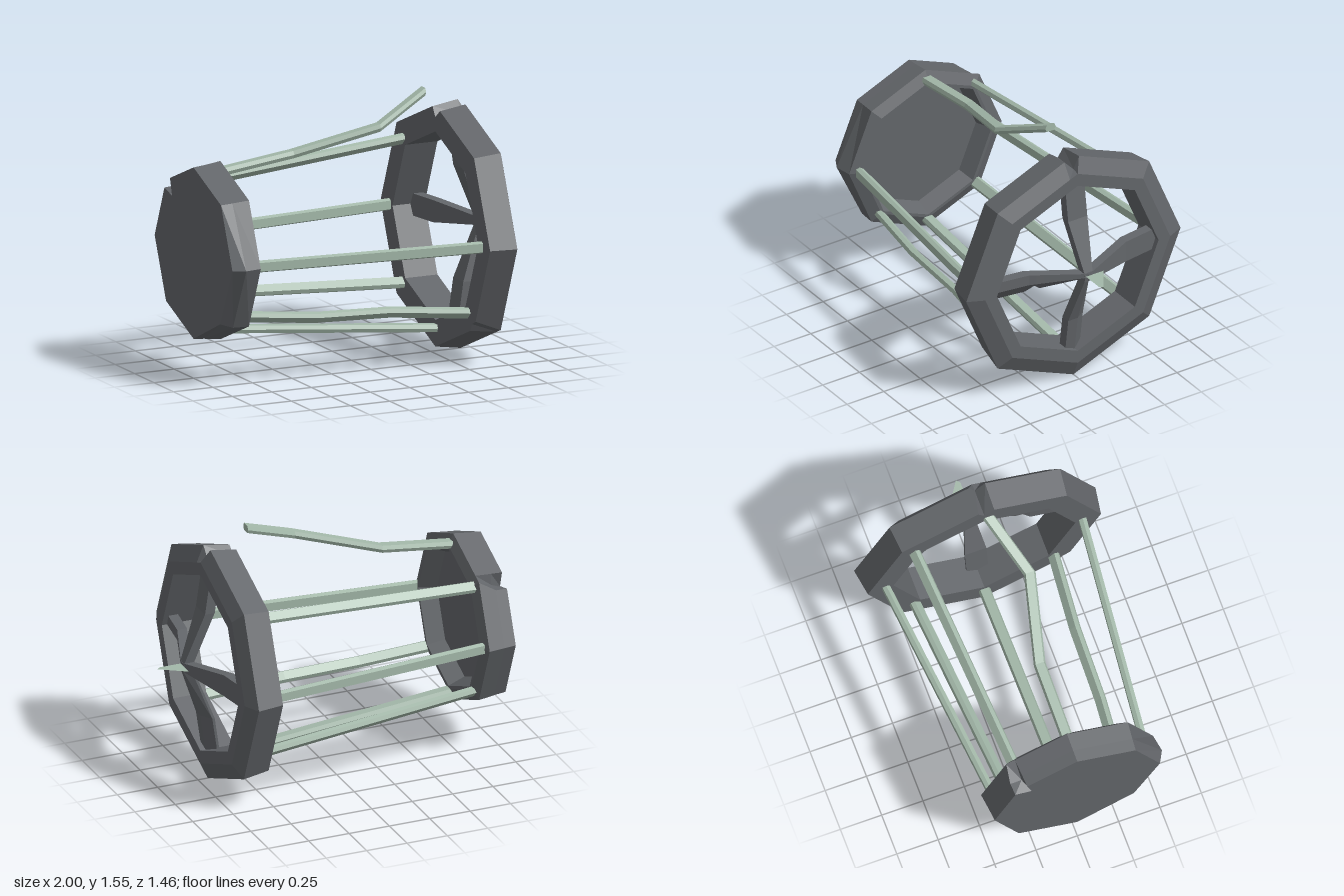
import * as THREE from 'three';

const CY = 0.73; // height of the long axis
const rad = d => d * Math.PI / 180;
const iron = new THREE.MeshStandardMaterial({ color: 0x63666a });
iron.name = 'dark iron';
const bar = new THREE.MeshStandardMaterial({ color: 0xa3b8a9 });
bar.name = 'pale green metal';

// Point at distance x along the axis, radius r, angle a (0 = up, 90 = front), tangential offset u
function polar(x, r, a, u = 0) {
  const c = Math.cos(rad(a)), s = Math.sin(rad(a));
  return [x, CY + r * c - u * s, r * s + u * c];
}

// Flat-shaded skin over a row of equal closed cross-sections
function skin(sections, { ring = false, closed = true, caps = false }) {
  const p = [], n = sections.length, m = sections[0].length;
  for (let i = 0; i < (ring ? n : n - 1); i++) {
    const A = sections[i], B = sections[(i + 1) % n];
    for (let j = 0; j < (closed ? m : m - 1); j++) {
      const k = (j + 1) % m;
      p.push(...A[j], ...B[j], ...B[k], ...A[j], ...B[k], ...A[k]);
    }
  }
  if (caps) {
    const S = sections[0], E = sections[n - 1];
    for (let k = 1; k < m - 1; k++) {
      p.push(...S[0], ...S[k], ...S[k + 1]);
      p.push(...E[0], ...E[k + 1], ...E[k]);
    }
  }
  const g = new THREE.BufferGeometry();
  g.setAttribute('position', new THREE.Float32BufferAttribute(p, 3));
  g.computeVertexNormals();
  return g;
}

// Octagonal revolve of [x, r] points; dents maps an angle to radius factors for the first points
function octagon(profile, dents, closed) {
  const angles = new Set([0, 45, 90, 135, 180, 225, 270, 315]);
  Object.keys(dents).forEach(a => angles.add(Number(a)));
  const sections = [...angles].sort((a, b) => a - b).map(a => {
    const k = Math.cos(rad(22.5)) / Math.cos(rad((a % 45) - 22.5));
    return profile.map(([x, r], j) => polar(x, r * k * (dents[a]?.[j] ?? 1), a));
  });
  return skin(sections, { ring: true, closed });
}

// Six-sided bar through [x, radius, tangential offset] points
const HEX = [[0.025, 0.022], [-0.025, 0.022], [-0.035, 0], [-0.025, -0.022], [0.025, -0.022], [0.035, 0]];
const rod = (path, a) => skin(
  path.map(([x, r, s = 0]) => HEX.map(([u, v]) => polar(x, r + v, a, u + s))), { caps: true });

// Tapered spoke from [radius, left half-width, right half-width, x] stations
const spoke = (stations, a, crease) => skin(stations.map(([r, w1, w2, x]) =>
  [[-w1, x], [0, x], [w2, x - crease], [w2, x - 0.06], [-w1, x - 0.06]]
    .map(([u, px]) => polar(px, r, a, u))), { caps: true });

export function createModel() {
  const model = new THREE.Group();
  const add = (name, geometry, material) => {
    const mesh = new THREE.Mesh(geometry, material);
    mesh.name = name;
    model.add(mesh);
  };

  // Wide open ring with a notch on top and a chipped corner
  add('wideRing', octagon(
    [[0.53, 0.705], [0.69, 0.73], [0.735, 0.63], [0.735, 0.55], [0.53, 0.55]],
    { 0: [0.9, 0.875], 5: [], 357: [], 131: [], 135: [0.95], 139: [] }, true), iron);

  // Narrow cup closed at the end, dented at the rim
  add('endCup', octagon(
    [[-1, 0], [-1, 0.5], [-0.93, 0.507], [-0.83, 0.52], [-0.8, 0.45], [-0.8, 0.43], [-0.9, 0.39], [-0.9, 0]],
    { 90: [1, 1, 1.06], 135: [1, 0.97, 1.02], 309: [], 315: [1, 0.78, 0.87], 321: [] }, false), iron);

  // Straight side bars; one upper front bar is missing
  for (const a of [90, 180, 225, 270, 315])
    add('sideBar', rod([[-0.82, 0.46], [0.54, 0.595]], a), bar);

  // Slightly bowed lower front bar
  add('bowedBar', rod([[-0.82, 0.455], [-0.4, 0.51], [0.06, 0.53], [0.54, 0.595]], 135), bar);

  // Broken bar bent away from the ring
  add('brokenBar', rod([[-0.82, 0.46], [-0.38, 0.515], [0.11, 0.645, 0.12], [0.455, 0.795]], 0), bar);

  // Four spokes meeting at a raised hub, the front one nicked
  for (const a of [0, 90, 180, 270]) {
    const stations = [[0, 0.025, 0.025, 0.85], [0.03, 0.028, 0.028, 0.845]];
    if (a === 90) stations.push([0.25, 0.055, 0.055, 0.764], [0.29, 0.06, 0.025, 0.75]);
    stations.push([0.33, 0.065, 0.065, 0.735], [0.57, 0.065, 0.065, 0.7]);
    add('spoke', spoke(stations, a, a === 90 || a === 180 ? 0.045 : 0), iron);
  }

  // Flat splinter at the hub, facing up
  const splinter = new THREE.ShapeGeometry(new THREE.Shape([
    new THREE.Vector2(0.85, 0.1), new THREE.Vector2(0.85, -0.02),
    new THREE.Vector2(0.98, -0.02), new THREE.Vector2(1, 0)]));
  splinter.rotateX(-Math.PI / 2).translate(0, 0.74, 0);
  add('hubSplinter', splinter, bar);

  return model;
}
